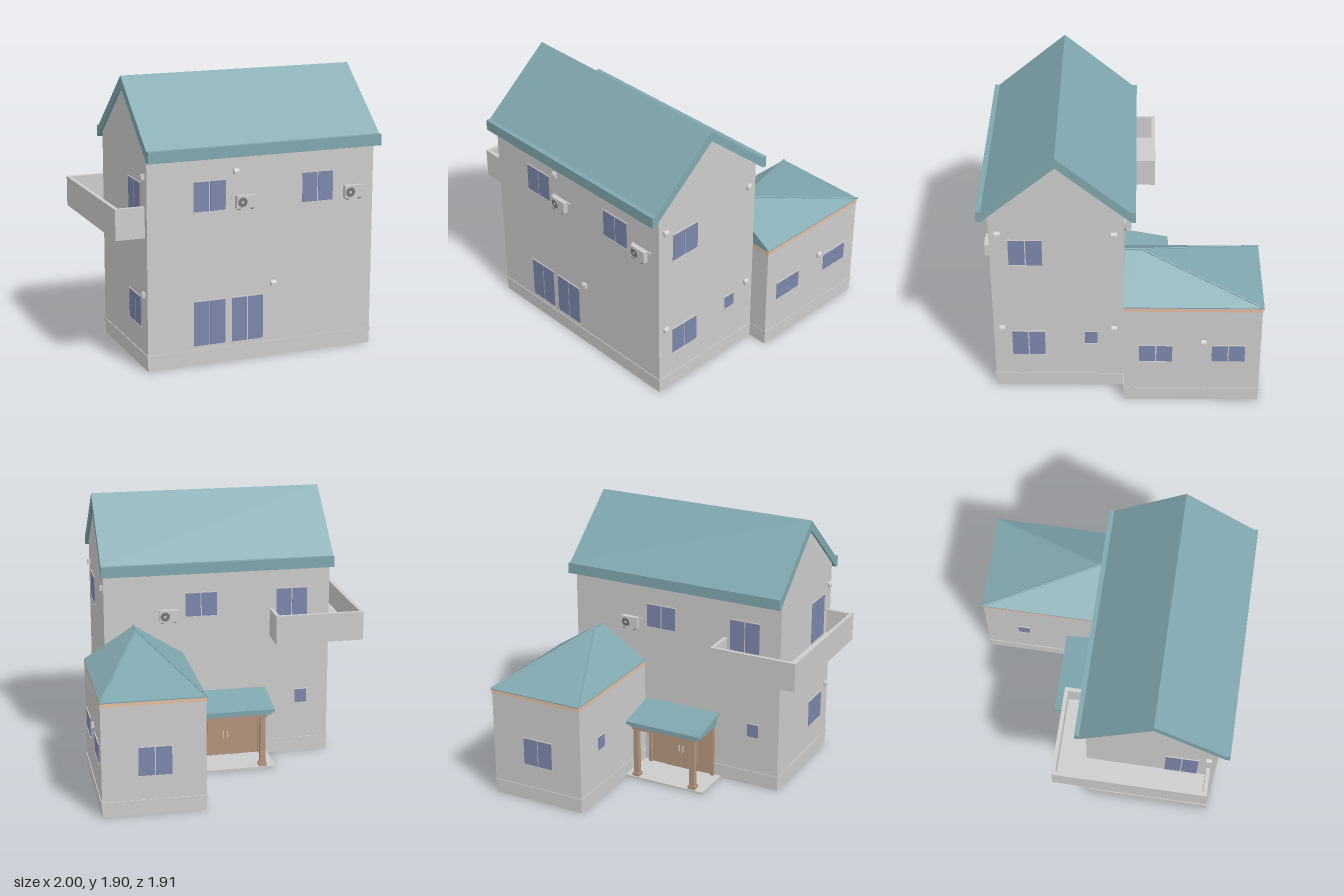
import * as THREE from 'three';

const mat = (color) => new THREE.MeshStandardMaterial({ color, flatShading: true });

export function createModel() {
  const house = new THREE.Group();
  house.name = 'house';
  const grey = mat(0xcccccc), white = mat(0xf2f2f2), teal = mat(0x7fa6ae), glass = mat(0x7c86ab);
  const peach = mat(0xe2bda2), wood = mat(0xb4947e), dark = mat(0x777777);

  const add = (name, geometry, material, parent = house) => {
    const mesh = new THREE.Mesh(geometry, material);
    mesh.name = name;
    parent.add(mesh);
    return mesh;
  };
  // Box given by its limits on each axis
  const box = (name, [x0, x1], [y0, y1], [z0, z1], material = grey, parent = house) => {
    const mesh = add(name, new THREE.BoxGeometry(x1 - x0, y1 - y0, z1 - z0), material, parent);
    mesh.position.set((x0 + x1) / 2, (y0 + y1) / 2, (z0 + z1) / 2);
    return mesh;
  };
  // Profile of [z, y] points swept along x
  const sweepX = (name, points, x0, x1, material, parent = house) => {
    const shape = new THREE.Shape(points.map(([z, y]) => new THREE.Vector2(-z, y)));
    const geometry = new THREE.ExtrudeGeometry(shape, { depth: x1 - x0, bevelEnabled: false, curveSegments: 8 });
    geometry.rotateY(Math.PI / 2).translate(x0, 0, 0);
    return add(name, geometry, material, parent);
  };
  // Group on a wall whose local +z points outward
  const turn = { front: 0, right: Math.PI / 2, back: Math.PI, left: -Math.PI / 2 };
  const onWall = (name, side, x, y, z) => {
    const g = new THREE.Group();
    g.name = name;
    g.position.set(x, y, z);
    g.rotation.y = turn[side];
    house.add(g);
    return g;
  };

  // Main block and gable roof
  const zF = 0.88, zB = -0.015, xL = -0.8, xR = 0.83, mid = 0.43;
  sweepX('mainWalls', [[zF, 0], [zF, 1.45], [mid, 1.83], [zB, 1.45], [zB, 0]], xL, xR, grey);
  sweepX('mainRoof', [
    [0.955, 1.41], [0.955, 1.487], [0.92, 1.487], [mid, 1.903], [-0.06, 1.487], [-0.093, 1.487],
    [-0.093, 1.41], [-0.065, 1.41], [mid, 1.83], [0.925, 1.41],
  ], -0.815, 0.85, teal);
  box('mainPlinthBand', [xL - 0.005, xR + 0.005], [0.085, 0.108], [zB - 0.005, zF + 0.005], white);

  // Rear wing
  const wL = 0.27, wR = 0.975, wB = -0.945;
  box('wingWalls', [wL, wR], [0, 0.775], [wB, zB]);
  box('wingEavesBand', [wL - 0.002, wR + 0.002], [0.775, 0.805], [wB - 0.002, zB], peach);
  box('wingPlinthBand', [wL - 0.005, wR + 0.005], [0.085, 0.108], [wB - 0.005, zB + 0.003], white);

  // Hip roof on the wing, ridge meeting the main wall
  const eave = 0.81, top = 1.035, rx = 0.622, rz = -0.13;
  box('wingRoofEdge', [wL - 0.003, wR + 0.003], [0.803, eave], [-0.955, zB], teal);
  const a = [wL - 0.003, eave, zB], b = [wL - 0.003, eave, -0.955];
  const c = [wR + 0.003, eave, -0.955], d = [wR + 0.003, eave, zB];
  const e = [rx, top, zB], f = [rx, top, rz];
  const hip = new THREE.BufferGeometry();
  const faces = [a, e, f, a, f, b, b, f, c, c, f, d, d, f, e, a, d, e];
  hip.setAttribute('position', new THREE.Float32BufferAttribute(faces.flat(), 3));
  hip.computeVertexNormals();
  const hipMat = mat(0x7fa6ae);
  hipMat.side = THREE.DoubleSide;
  add('wingRoof', hip, hipMat);
  for (const [p, q] of [[b, f], [c, f], [f, e]]) {
    const line = new THREE.LineCurve3(new THREE.Vector3(...p), new THREE.Vector3(...q));
    add('wingRidgeCap', new THREE.TubeGeometry(line, 1, 0.007, 6), teal);
  }

  // Windows: frame, panes and sill
  const windowAt = (side, x, y0, y1, z, w = 0.225, panes = 2) => {
    const g = onWall('window', side, x, y0, z);
    const h = y1 - y0, gap = 0.008, pw = (w - gap * (panes - 1)) / panes;
    for (let i = 0; i < panes; i++) {
      const s = -w / 2 + i * (pw + gap);
      box('pane', [s, s + pw], [0, h], [-0.01, 0.004], glass, g);
    }
    box('sill', [-w / 2 - 0.006, w / 2 + 0.006], [-0.008, 0], [-0.01, 0.007], grey, g);
    box('head', [-w / 2 - 0.006, w / 2 + 0.006], [h, h + 0.006], [-0.01, 0.006], grey, g);
  };
  windowAt('front', -0.365, 1.05, 1.25, zF);
  windowAt('front', 0.415, 1.05, 1.25, zF);
  windowAt('front', -0.365, 0.135, 0.44, zF);
  windowAt('front', -0.092, 0.135, 0.44, zF);
  windowAt('right', xR, 1.05, 1.25, 0.643);
  windowAt('right', xR, 0.28, 0.48, 0.643);
  windowAt('right', xR, 0.38, 0.48, 0.212, 0.085, 1);
  windowAt('right', wR, 0.345, 0.48, -0.232);
  windowAt('right', wR, 0.345, 0.48, -0.727);
  windowAt('left', xL, 0.94, 1.25, 0.643);
  windowAt('left', xL, 0.28, 0.48, 0.643);
  windowAt('left', wL, 0.38, 0.48, -0.66, 0.085, 1);
  windowAt('back', 0.615, 0.28, 0.48, wB);
  windowAt('back', 0.135, 1.08, 1.25, zB);
  windowAt('back', -0.525, 0.94, 1.25, zB);
  windowAt('back', -0.6, 0.38, 0.48, zB, 0.085, 1);

  // Wall lamps: small hoods with a rounded top
  const lampAt = (side, x, y, z) => {
    const g = onWall('wallLamp', side, x, y, z);
    const arc = [0, 1, 2, 3, 4].map((i) => {
      const t = (i / 4) * Math.PI / 2;
      return [0.022 * Math.cos(t), 0.022 * Math.sin(t) - 0.004];
    });
    sweepX('lampHood', [[0, -0.018], [0.022, -0.018], ...arc], -0.019, 0.019, grey, g);
  };
  lampAt('front', -0.18, 1.303, zF);
  lampAt('front', 0.092, 0.515, zF);
  for (const y of [1.303, 0.515]) {
    lampAt('right', xR, y, 0.822);
    lampAt('right', xR, y, 0.052);
    lampAt('left', xL, y, 0.822);
  }
  lampAt('right', wR, 0.515, -0.555);

  // Air conditioner units
  const airConditioner = (side, x, z) => {
    const g = onWall('airConditioner', side, x, 1.05, z);
    box('acBody', [-0.065, 0.065], [0.006, 0.092], [0.008, 0.042], white, g);
    const fan = add('acFan', new THREE.CylinderGeometry(0.034, 0.034, 0.006, 20).rotateX(Math.PI / 2), dark, g);
    fan.position.set(-0.026, 0.048, 0.042);
    add('acFanRing', new THREE.TorusGeometry(0.035, 0.002, 6, 20), white, g).position.set(-0.026, 0.048, 0.045);
    const hub = add('acHub', new THREE.CylinderGeometry(0.009, 0.009, 0.008, 12).rotateX(Math.PI / 2), white, g);
    hub.position.set(-0.026, 0.048, 0.043);
    box('acRail', [-0.09, 0.09], [0.076, 0.084], [0, 0.01], white, g);
    for (const s of [-0.045, 0.045]) box('acFoot', [s - 0.008, s + 0.008], [-0.002, 0.006], [0, 0.042], dark, g);
  };
  airConditioner('front', -0.122, zF);
  airConditioner('front', 0.668, zF);
  airConditioner('back', 0.375, zB);

  // Balcony wrapping the rear left corner
  const plan = [[-1, 0.84], [-1, -0.23], [-0.365, -0.23], [-0.365, zB], [xL, zB], [xL, 0.84]];
  const floor = new THREE.Shape(plan.map(([x, z]) => new THREE.Vector2(x, -z)));
  const floorGeo = new THREE.ExtrudeGeometry(floor, { depth: 0.03, bevelEnabled: false });
  add('balconyFloor', floorGeo.rotateX(-Math.PI / 2), grey).position.y = 0.9;
  const t = 0.023;
  const parapets = [
    [[-1, -1 + t], [-0.23, 0.84]],
    [[-1, -0.365], [-0.23, -0.23 + t]],
    [[-0.365 - t, -0.365], [-0.23, zB]],
    [[-1, xL], [0.84 - t, 0.84]],
  ];
  for (const [xs, zs] of parapets) {
    box('balconyParapet', xs, [0.9, 1.1], zs);
    box('balconyCap', [xs[0] - 0.002, xs[1] + 0.002], [1.1, 1.108], [zs[0] - 0.002, zs[1] + 0.002], white);
  }

  // Porch: floor, posts, beams and a sloping roof
  box('porchFloor', [-0.35, wL], [0, 0.015], [-0.315, zB]);
  for (const x of [-0.258, 0.195]) {
    box('porchPostBase', [x - 0.027, x + 0.027], [0.015, 0.04], [-0.307, -0.253], wood);
    box('porchPost', [x - 0.019, x + 0.019], [0.04, 0.4], [-0.299, -0.261], wood);
    box('porchSideBeam', [x - 0.015, x + 0.015], [0.385, 0.42], [-0.295, zB], wood);
  }
  box('porchFrontBeam', [-0.29, 0.225], [0.385, 0.42], [-0.3, -0.262], wood);
  sweepX('porchRoofFrame', [[-0.315, 0.41], [-0.315, 0.44], [zB, 0.5], [zB, 0.41]], -0.315, 0.235, teal);
  sweepX('porchRoof', [[-0.332, 0.43], [-0.332, 0.453], [zB, 0.515], [zB, 0.49]], -0.335, 0.255, teal);

  // Entrance under the porch
  box('entrancePanel', [-0.3, 0.225], [0.015, 0.4], [zB - 0.012, zB], wood);
  for (const x of [-0.29, 0.215]) box('entrancePilaster', [x - 0.012, x + 0.012], [0.015, 0.4], [zB - 0.03, zB], wood);
  const door = onWall('entranceDoor', 'back', -0.037, 0.015, zB - 0.012);
  for (const s of [-1, 1]) {
    box('doorLeaf', [s * 0.068 - 0.065, s * 0.068 + 0.065], [0, 0.33], [0, 0.006], wood, door);
    box('doorHandle', [s * 0.015 - 0.003, s * 0.015 + 0.003], [0.13, 0.18], [0.006, 0.014], white, door);
  }
  return house;
}
